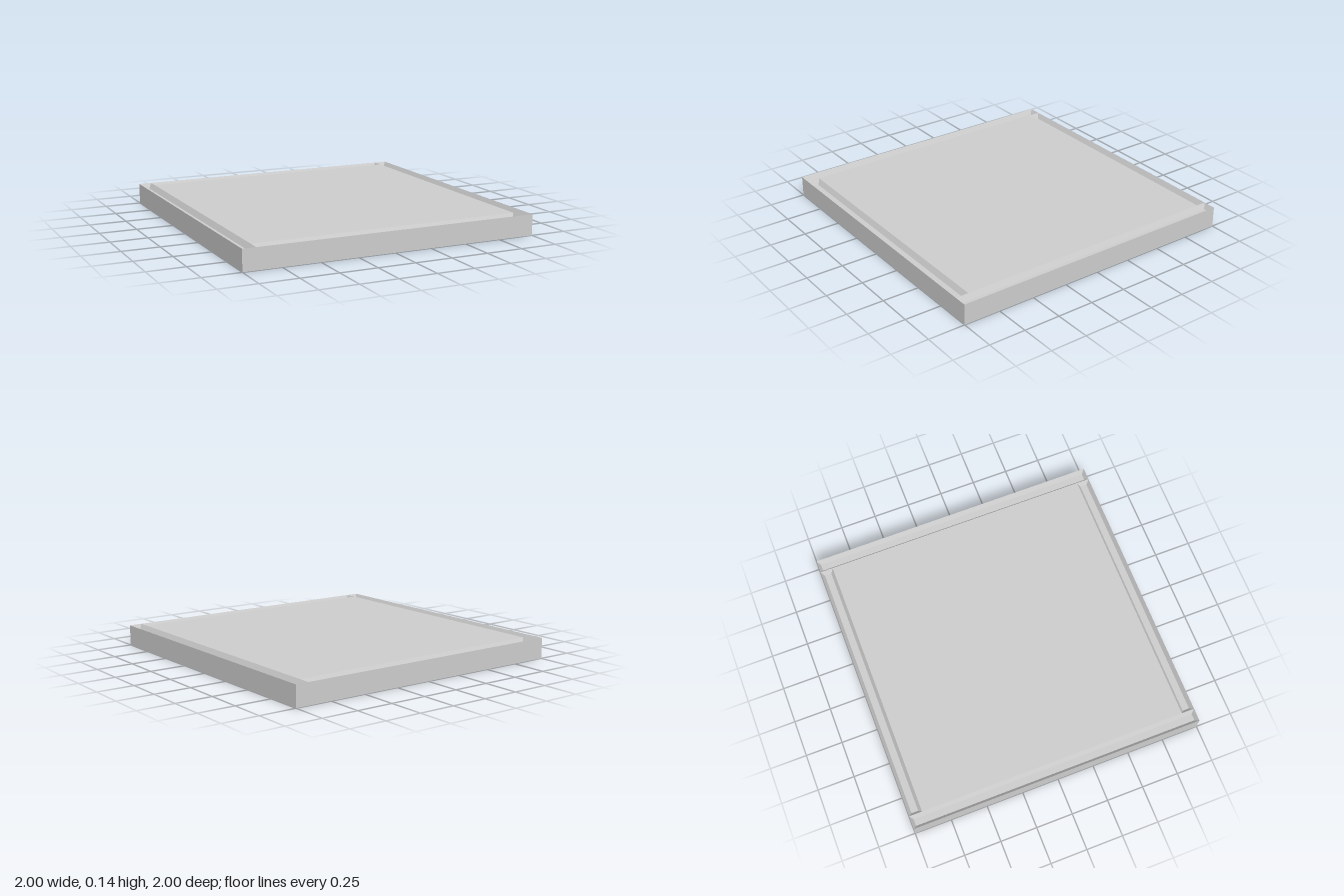
import * as THREE from 'three';

const H = 0.14;      // slab height
const INNER = 0.912; // half size of the raised centre panel
const DEPTH = 0.035; // channel depth
const SLOPE = 0.021; // horizontal run of the channel walls

const material = new THREE.MeshStandardMaterial({ color: 0xcccccc, flatShading: true });

function quadMesh(name, quads) {
  const pos = [];
  for (const [a, b, c, d] of quads) pos.push(...a, ...b, ...c, ...a, ...c, ...d);
  const geo = new THREE.BufferGeometry();
  geo.setAttribute('position', new THREE.Float32BufferAttribute(pos, 3));
  geo.computeVertexNormals();
  const mesh = new THREE.Mesh(geo, material);
  mesh.name = name;
  return mesh;
}

// Rectangle of corners at height y, counter-clockwise seen from above
const ring = (x0, x1, z0, z1, y) => [[x0, y, z1], [x1, y, z1], [x1, y, z0], [x0, y, z0]];

// Sunken channel with four sloping walls and a flat floor
function channel(name, x0, x1, z0, z1) {
  const top = ring(x0, x1, z0, z1, H);
  const floor = ring(x0 + SLOPE, x1 - SLOPE, z0 + SLOPE, z1 - SLOPE, H - DEPTH);
  const walls = top.map((p, i) => {
    const j = (i + 1) % 4;
    return [p, floor[i], floor[j], top[j]].reverse();
  });
  return quadMesh(name, [floor, ...walls]);
}

export function createModel() {
  const group = new THREE.Group();
  group.name = 'slab';

  // Outer sides and underside
  const low = ring(-1, 1, -1, 1, 0);
  const high = ring(-1, 1, -1, 1, H);
  const sides = low.map((p, i) => [p, low[(i + 1) % 4], high[(i + 1) % 4], high[i]]);
  group.add(quadMesh('base', [[...low].reverse(), ...sides]));

  // Flat centre panel
  group.add(quadMesh('centrePanel', [ring(-INNER, INNER, -INNER, INNER, H)]));

  // Full-length side channels, shorter front and back channels between them
  group.add(channel('leftChannel', INNER, 1, -1, 1));
  group.add(channel('rightChannel', -1, -INNER, -1, 1));
  group.add(channel('frontChannel', -INNER, INNER, INNER, 1));
  group.add(channel('backChannel', -INNER, INNER, -1, -INNER));

  return group;
}
